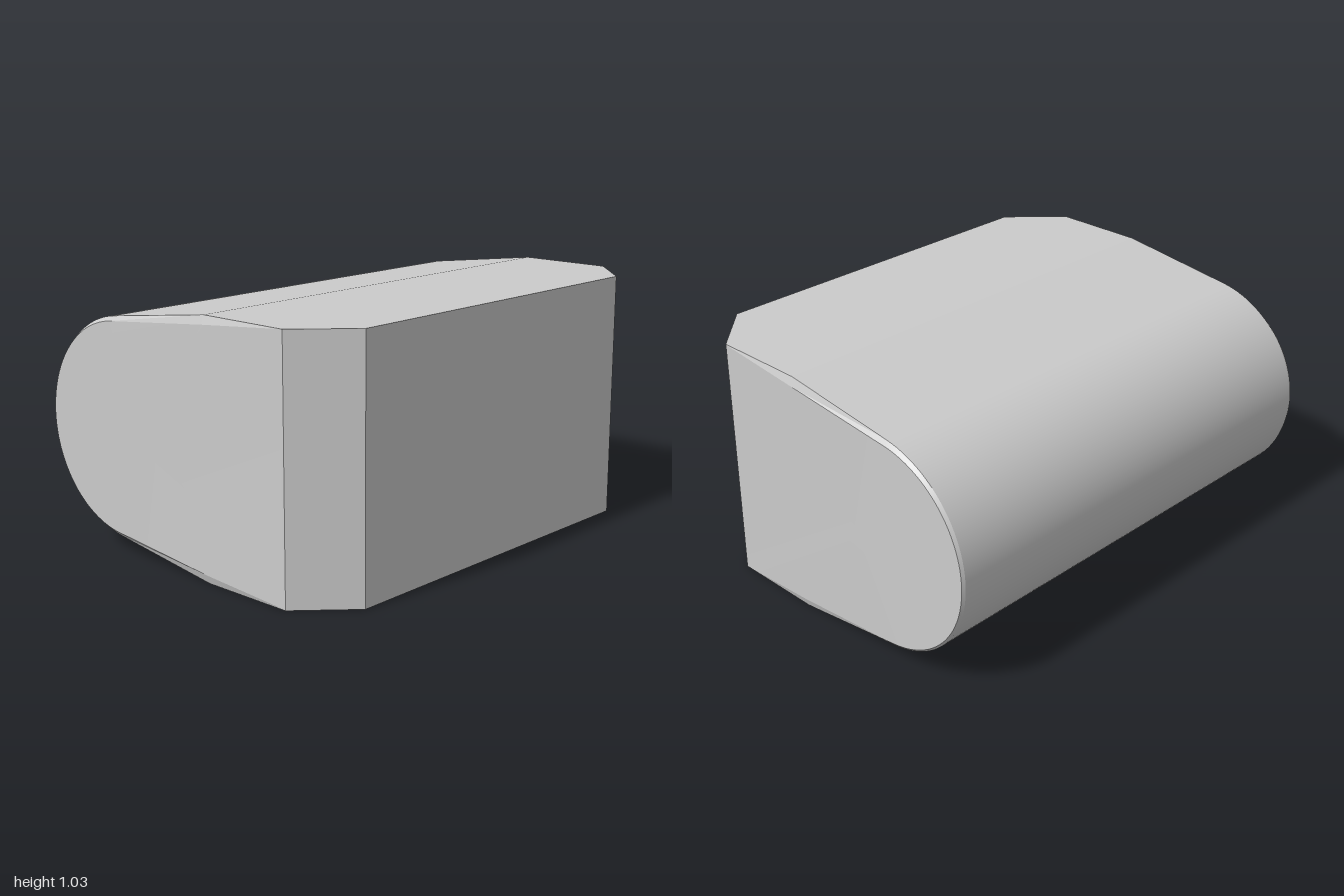
import * as THREE from 'three';
import { toCreasedNormals } from 'three/addons/utils/BufferGeometryUtils.js';

const MID = 0.515; // half of the height

// Side outline from the front top corner, round the back, to the front bottom: [x, y, z]
function outline(sign, front, knee, arcX, arcZ, radius) {
  const upper = [front, knee];
  const steps = 48, start = 0.134;
  const arc = [];
  for (let i = 0; i <= steps; i++) {
    const a = start + (Math.PI - 2 * start) * i / steps;
    arc.push([arcX, MID + radius * Math.cos(a), arcZ - radius * Math.sin(a)]);
  }
  const lower = upper.map(([x, y, z]) => [x, 2 * MID - y, z]).reverse();
  return [...upper, ...arc, ...lower].map(([x, y, z]) => [sign * x, y, z]);
}

// Half of the sections, from the front chamfer out to the side panel
function sections(sign) {
  return [
    outline(sign, [0.78, 1.03, 0.757], [0.78, 1.03, 0.15], 0.78, -0.31, 0.45),
    outline(sign, [0.985, 1.03, 0.555], [0.985, 1.03, 0.15], 0.985, -0.31, 0.45),
    outline(sign, [0.9855, 1.026, 0.54], [0.997, 0.995, 0.15], 1, -0.325, 0.43),
  ];
}

function bodyGeometry() {
  const rings = [...sections(-1).reverse(), ...sections(1)];
  const n = rings[0].length;
  const index = [];
  // Skin between neighbouring sections
  for (let i = 0; i < rings.length - 1; i++) {
    for (let j = 0; j < n; j++) {
      const k = (j + 1) % n;
      const a = i * n + j, b = i * n + k, c = a + n, d = b + n;
      index.push(a, c, b, b, c, d);
    }
  }
  // Side panels
  const left = rings.length * n, right = left + 1;
  const last = (rings.length - 1) * n;
  for (let j = 0; j < n; j++) {
    const k = (j + 1) % n;
    index.push(right, j, k, left, last + k, last + j);
  }
  const points = [...rings.flat(), [1, MID, -0.2], [-1, MID, -0.2]];
  const geometry = new THREE.BufferGeometry();
  geometry.setAttribute('position', new THREE.Float32BufferAttribute(points.flat(), 3));
  geometry.setIndex(index);
  return toCreasedNormals(geometry, 0.1);
}

export function createModel() {
  const group = new THREE.Group();
  const body = new THREE.Mesh(bodyGeometry(), new THREE.MeshStandardMaterial({ color: 0xcccccc }));
  body.name = 'roundedBackBody';
  group.add(body);
  return group;
}
